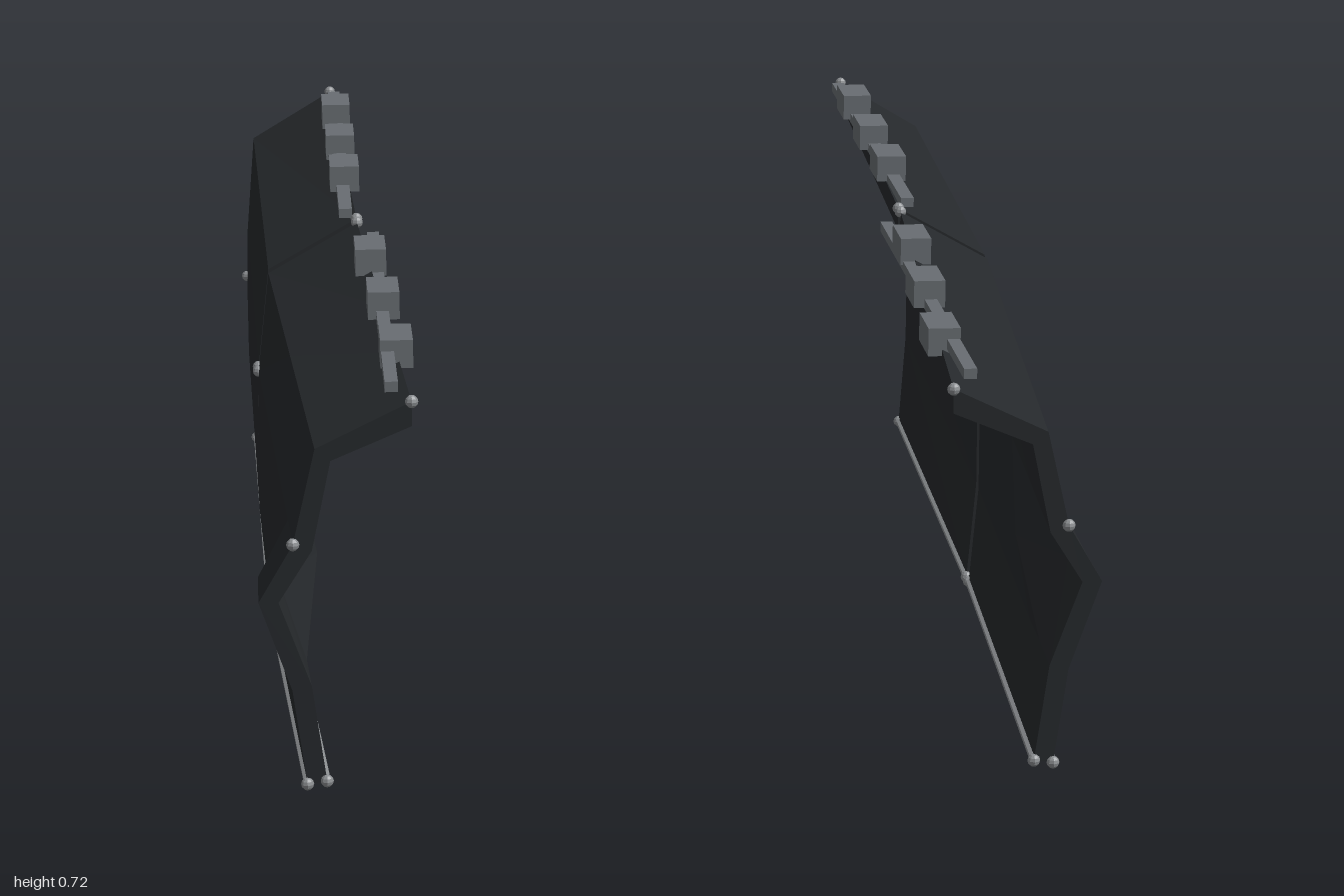
import * as THREE from 'three';

const material = (color) => new THREE.MeshStandardMaterial({ color, flatShading: true });
const panelMat = material(0x25282b);
const blockMat = material(0x686d72);
const fixingMat = material(0x8a8d90);

// Outer profiles from the inner top lip, over the fold, down to the bottom edge
const REAR = [[0.485, 0.695], [0.63, 0.608], [0.645, 0.43], [0.648, 0.34], [0.648, 0.19], [0.637, 0.02]];
const MIDDLE = [[0.46, 0.685], [0.61, 0.6], [0.63, 0.43], [0.633, 0.34], [0.634, 0.19], [0.62, 0.02]];
const FRONT = [[0.405, 0.648], [0.55, 0.578], [0.585, 0.43], [0.59, 0.34], [0.59, 0.2], [0.57, 0.05]];

const mix = (a, b, t) => a.map((p, i) => p.map((v, k) => v + (b[i][k] - v) * t));

// Outer points plus a parallel inner skin; dent pushes the inner skin in at mid height
function section(z, outer, thickness = 0.03, dent = 0) {
  const last = outer.length - 1;
  const inner = outer.map(([x, y], i) => {
    if (i === 0) return [x, y - 0.038];
    const a = outer[i - 1], b = outer[Math.min(i + 1, last)];
    const dx = b[0] - a[0], dy = b[1] - a[1], len = Math.hypot(dx, dy);
    const push = thickness + (i === 3 ? dent : 0);
    return [x + (dy / len) * push, y - (dx / len) * push];
  });
  return { z, outer, inner };
}

// Closed shell through sections ordered from front to back
function shell(sections, side) {
  const pos = [], index = [];
  const n = sections[0].outer.length, m = n * 2;
  const quad = (a, b, c, d) => index.push(...(side > 0 ? [a, b, c, a, c, d] : [a, c, b, a, d, c]));
  for (const s of sections) {
    for (const [x, y] of [...s.outer, ...s.inner.slice().reverse()]) pos.push(side * x, y, s.z);
  }
  for (let s = 0; s < sections.length - 1; s++) {
    for (let i = 0; i < m; i++) {
      const j = (i + 1) % m;
      quad(s * m + i, s * m + j, (s + 1) * m + j, (s + 1) * m + i);
    }
  }
  const back = (sections.length - 1) * m;
  for (let i = 0; i < n - 1; i++) {
    const k = m - 1 - i;
    quad(i, k, k - 1, i + 1);
    quad(back + i, back + i + 1, back + k - 1, back + k);
  }
  const g = new THREE.BufferGeometry();
  g.setAttribute('position', new THREE.Float32BufferAttribute(pos, 3));
  g.setIndex(index);
  const flat = g.toNonIndexed();
  flat.computeVertexNormals();
  return flat;
}

function add(group, name, geometry, mat, x = 0, y = 0, z = 0) {
  const mesh = new THREE.Mesh(geometry, mat);
  mesh.name = name;
  mesh.position.set(x, y, z);
  group.add(mesh);
  return mesh;
}

function rod(group, name, from, to, radius) {
  const a = new THREE.Vector3(...from), b = new THREE.Vector3(...to);
  const mesh = add(group, name, new THREE.CylinderGeometry(radius, radius, a.distanceTo(b), 6), fixingMat);
  mesh.position.copy(a).add(b).multiplyScalar(0.5);
  mesh.quaternion.setFromUnitVectors(new THREE.Vector3(0, 1, 0), b.sub(a).normalize());
}

function buildSide(side) {
  const group = new THREE.Group();
  group.name = side > 0 ? 'leftSkirt' : 'rightSkirt';

  // Front panel, flared outward at mid height near its leading end
  const flare = (p) => p.map(([x, y], i) => (i === 3 ? [0.638, y] : [x, y]));
  const at = (z) => mix(MIDDLE, FRONT, (z - 0.014) / 0.971);
  const frontSections = [
    section(0.985, flare(FRONT)),
    section(0.86, flare(at(0.86))),
    section(0.74, at(0.74), 0.03, 0.025),
    section(0.5, at(0.5)),
    section(0.014, MIDDLE),
  ];
  add(group, 'frontPanel', shell(frontSections, side), panelMat);

  // Rear panel
  const rearSections = [section(-0.012, MIDDLE), section(-0.985, REAR)];
  add(group, 'rearPanel', shell(rearSections, side), panelMat);

  // Mounting rails along the top lip
  add(group, 'frontRail', new THREE.BoxGeometry(0.02, 0.016, 0.93), blockMat, side * 0.434, 0.664, 0.495);
  add(group, 'rearRail', new THREE.BoxGeometry(0.022, 0.016, 0.94), blockMat, side * 0.478, 0.69, -0.5);

  // Mounting blocks
  const blocks = [
    [0.42, 0.667, 0.74], [0.432, 0.68, 0.5], [0.445, 0.688, 0.255],
    [0.475, 0.708, -0.255], [0.477, 0.708, -0.5], [0.479, 0.71, -0.745],
  ];
  for (const [x, y, z] of blocks) {
    add(group, 'mountingBlock', new THREE.BoxGeometry(0.05, 0.044, 0.098), blockMat, side * x, y, z);
  }

  // Lower edge rods and small round fixings at the panel ends
  for (const sections of [frontSections, rearSections]) {
    const ends = [sections[0], sections[sections.length - 1]];
    for (const edge of ['outer', 'inner']) {
      const points = ends.map((s) => [side * s[edge][5][0], s[edge][5][1], s.z]);
      rod(group, 'bottomRod', points[0], points[1], 0.006);
    }
    for (const s of ends) {
      const mid = s.z < -0.9 ? s.outer[3] : s.outer[2];
      for (const [x, y] of [s.outer[0], mid, s.outer[5], s.inner[5]]) {
        add(group, 'fixing', new THREE.SphereGeometry(0.01, 8, 6), fixingMat, side * x, y, s.z);
      }
    }
  }
  return group;
}

export function createModel() {
  const model = new THREE.Group();
  model.name = 'sideSkirts';
  for (const side of [1, -1]) model.add(buildSide(side));
  return model;
}
